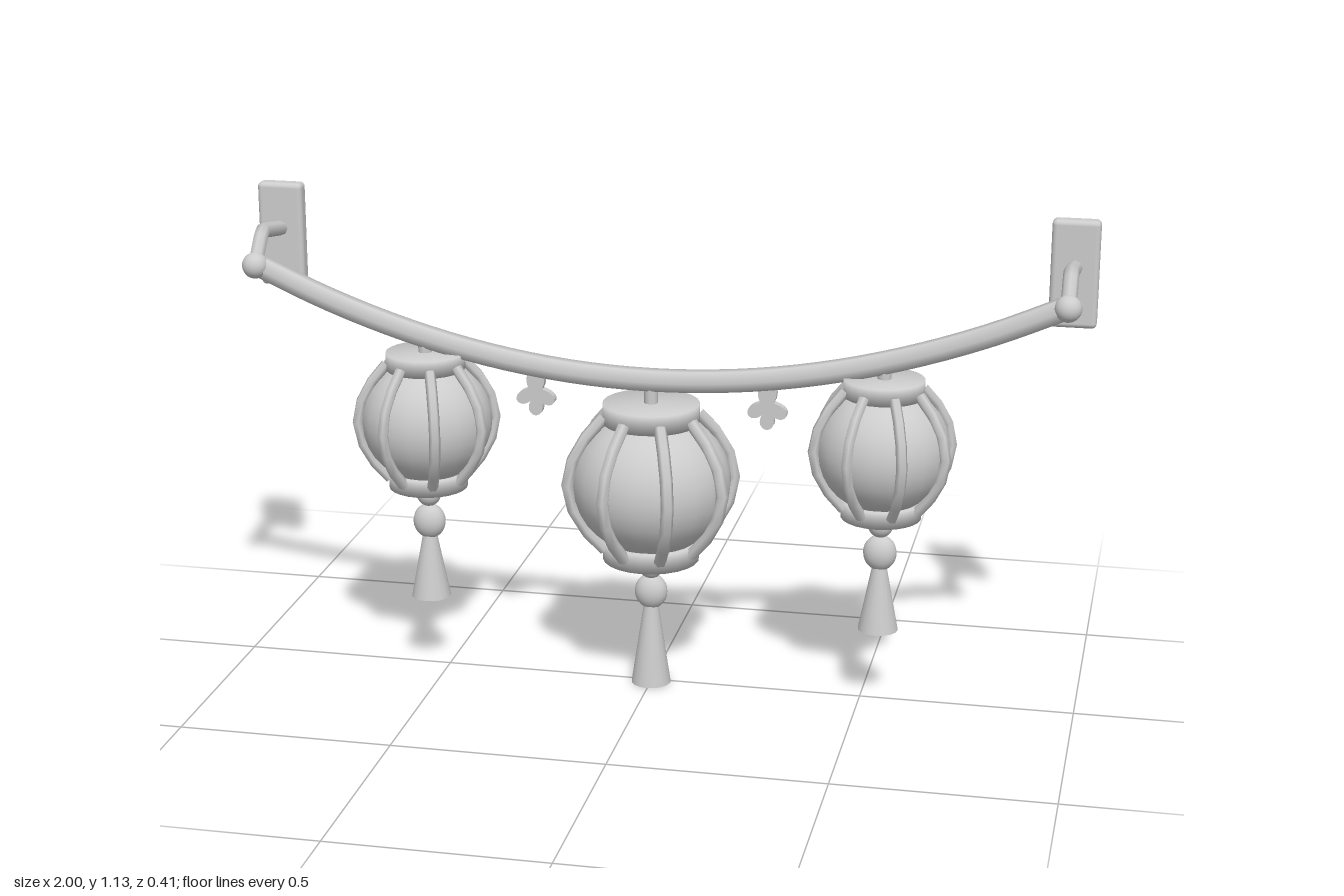
import * as THREE from 'three';
import { RoundedBoxGeometry } from 'three/addons/geometries/RoundedBoxGeometry.js';

const Z = 0.01; // depth of the rope and everything hanging from it

export function createModel() {
  const grey = new THREE.MeshStandardMaterial({ color: 0xcccccc });
  grey.name = 'plain grey';
  const model = new THREE.Group();
  model.name = 'lanternGarland';

  const add = (parent, name, geometry, x = 0, y = 0, z = 0) => {
    const mesh = new THREE.Mesh(geometry, grey);
    mesh.name = name;
    mesh.position.set(x, y, z);
    parent.add(mesh);
    return mesh;
  };
  const group = (name, x, y, z) => {
    const g = new THREE.Group();
    g.name = name;
    g.position.set(x, y, z);
    model.add(g);
    return g;
  };
  const tube = (points, segments, radius, sides, tension = 0.5) =>
    new THREE.TubeGeometry(
      new THREE.CatmullRomCurve3(points.map(p => new THREE.Vector3(...p)), false, 'catmullrom', tension),
      segments, radius, sides);
  // Short drum with softly shaded rims
  const drum = (r, y0, y1) => new THREE.LatheGeometry(
    [[0, y0], [r, y0], [r, y1], [0, y1]].map(p => new THREE.Vector2(...p)), 24);
  const ball = (rx, ry, rz) => new THREE.SphereGeometry(1, 20, 14).scale(rx, ry, rz);

  // Sagging rope
  const ropeY = x => 0.75 + 0.225 * (x / 0.945) ** 2;
  const ropePoints = [];
  for (let i = -6; i <= 6; i++) {
    const x = i / 6 * 0.945;
    ropePoints.push([x, ropeY(x), Z]);
  }
  add(model, 'rope', tube(ropePoints, 40, 0.028, 6));

  // Wall brackets with bent arms and end balls
  for (const side of [-1, 1]) {
    const bracket = group('wallBracket', side * 0.945, 0, 0);
    add(bracket, 'wallPlate', new RoundedBoxGeometry(0.11, 0.252, 0.04, 3, 0.012), 0, 1.005, -0.182);
    add(bracket, 'arm', tube([[0, 0.975, 0.022], [0, 1.045, -0.035], [0, 1.02, -0.17]], 12, 0.018, 8, 0));
    add(bracket, 'endBall', ball(0.031, 0.031, 0.031), 0, 0.975, 0.022);
  }

  // Ribbed lantern with caps, hanger and tassel
  function lantern(x, o) {
    const g = group('lantern', x, 0, Z);
    const mid = (o.top + o.bottom) / 2, half = (o.top - o.bottom) / 2;
    add(g, 'body', new THREE.SphereGeometry(1, 24, 16).scale(o.body, half * 0.9, o.body), 0, mid, 0);
    add(g, 'topCap', drum(o.cap, o.top - o.capHeight, o.top));
    add(g, 'bottomCap', drum(o.cap, o.bottom, o.bottom + o.capHeight));
    const hookTop = ropeY(x);
    add(g, 'hanger', new THREE.CylinderGeometry(0.016, 0.016, hookTop - o.top + 0.02, 10),
      0, (hookTop + o.top - 0.02) / 2, 0);
    // Eight ribs bowed around the body
    const ribPath = [[0.56, 0.85], [0.87, 0.46], [1, 0], [0.87, -0.46], [0.56, -0.85]]
      .map(([r, h]) => [r * o.rib, h * half, 0]);
    const rib = tube(ribPath, 6, o.ribTube, 6);
    for (let i = 0; i < 8; i++) {
      add(g, 'rib', rib, 0, mid, 0).rotation.y = (i + 0.5) * Math.PI / 4;
    }
    // Tassel
    add(g, 'knot', ball(0.03, 0.032, 0.03), 0, o.bottom - 0.018, 0);
    add(g, 'bead', ball(0.039, 0.043, 0.031), 0, o.beadY, 0);
    add(g, 'tassel', new THREE.CylinderGeometry(0.017, 0.047, o.tassel, 16),
      0, o.tasselBottom + o.tassel / 2, 0);
  }
  for (const side of [-1, 1]) {
    lantern(side * 0.54, {
      top: 0.786, bottom: 0.455, capHeight: 0.04, cap: 0.093, body: 0.154, rib: 0.163,
      ribTube: 0.013, beadY: 0.367, tassel: 0.155, tasselBottom: 0.178,
    });
  }
  lantern(0, {
    top: 0.695, bottom: 0.313, capHeight: 0.046, cap: 0.113, body: 0.187, rib: 0.198,
    ribTube: 0.015, beadY: 0.23, tassel: 0.2, tasselBottom: 0,
  });

  // Flat lobed charms between the lanterns
  const outline = new THREE.Shape();
  outline.moveTo(0, 0.065);
  outline.bezierCurveTo(0.03, 0.06, 0.022, 0.035, 0.016, 0.022);
  outline.bezierCurveTo(0.03, 0.018, 0.05, 0.008, 0.045, -0.008);
  outline.bezierCurveTo(0.038, -0.022, 0.02, -0.016, 0.012, -0.008);
  outline.bezierCurveTo(0.022, -0.025, 0.014, -0.042, 0, -0.043);
  outline.bezierCurveTo(-0.014, -0.042, -0.022, -0.025, -0.012, -0.008);
  outline.bezierCurveTo(-0.02, -0.016, -0.038, -0.022, -0.045, -0.008);
  outline.bezierCurveTo(-0.05, 0.008, -0.03, 0.018, -0.016, 0.022);
  outline.bezierCurveTo(-0.022, 0.035, -0.03, 0.06, 0, 0.065);
  const charm = new THREE.ExtrudeGeometry(outline, { depth: 0.02, bevelEnabled: false, curveSegments: 6 });
  for (const side of [-1, 1]) add(model, 'charm', charm, side * 0.273, 0.692, Z - 0.01);

  return model;
}
